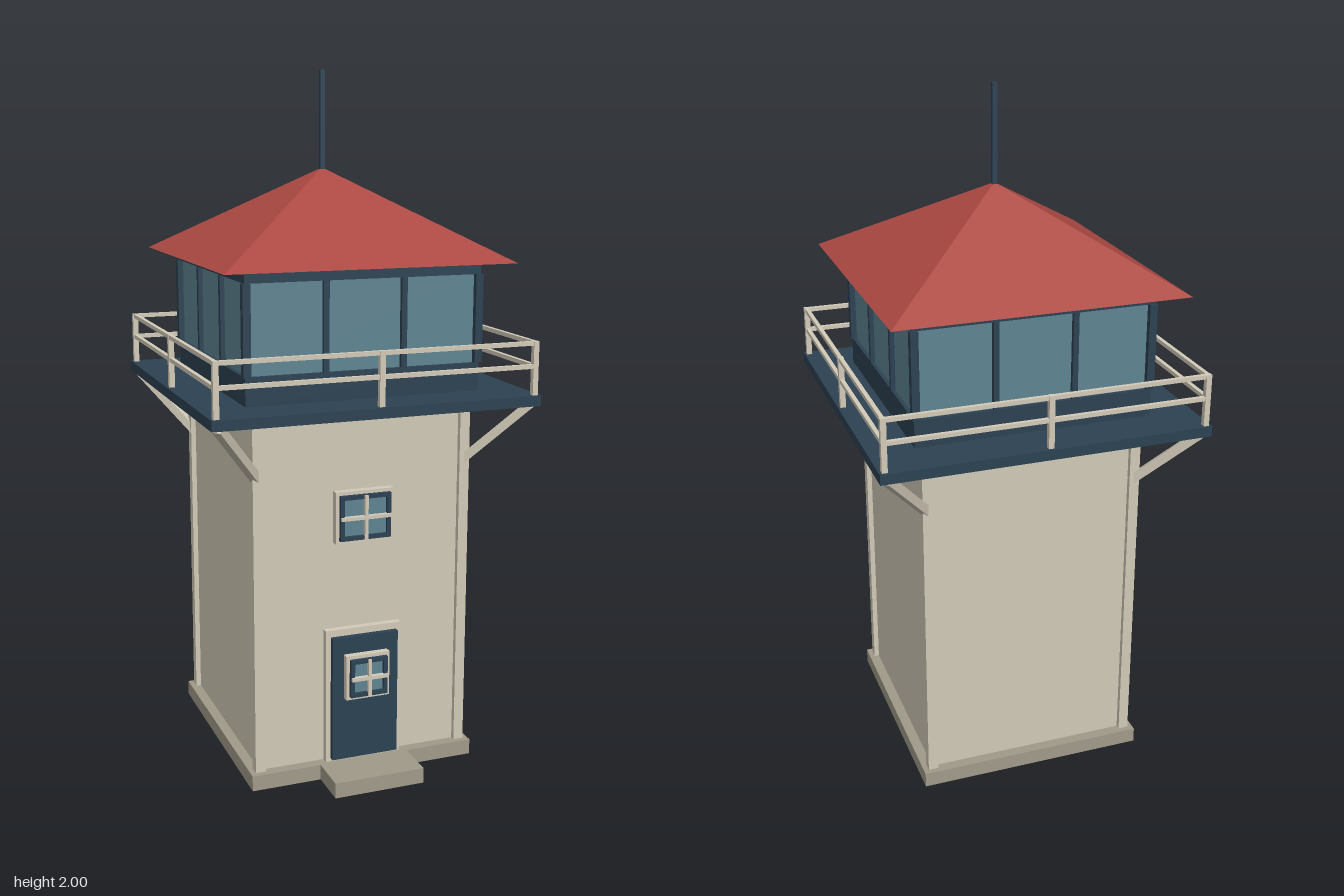
import * as THREE from 'three';

const mat = (name, color) => {
  const m = new THREE.MeshStandardMaterial({ color });
  m.name = name;
  return m;
};

export function createModel() {
  const cream = mat('cream wall', 0xd2cbb8);
  const trim = mat('cream trim', 0xd4ccba);
  const navy = mat('dark navy', 0x2c4253);
  const glass = mat('blue glass', 0x5f8592);
  const red = mat('red roof', 0xab4842);
  const stone = mat('grey stone', 0xa19b8a);

  const tower = new THREE.Group();
  tower.name = 'lookoutTower';

  const add = (parent, name, geo, material, x = 0, y = 0, z = 0) => {
    const m = new THREE.Mesh(geo, material);
    m.name = name;
    m.position.set(x, y, z);
    parent.add(m);
    return m;
  };
  const box = (parent, name, material, w, h, d, x, y, z) =>
    add(parent, name, new THREE.BoxGeometry(w, h, d), material, x, y, z);
  // Box given by its bottom and top heights
  const slab = (name, material, w, d, y0, y1, x = 0, z = 0) =>
    box(tower, name, material, w, y1 - y0, d, x, (y0 + y1) / 2, z);
  // Rectangular ring standing in the xy plane, with its back at z = 0
  const ring = (w, h, t, depth) => {
    const rect = (Type, a, b) => new Type([
      new THREE.Vector2(-a, -b), new THREE.Vector2(a, -b),
      new THREE.Vector2(a, b), new THREE.Vector2(-a, b)]);
    const s = rect(THREE.Shape, w / 2, h / 2);
    s.holes.push(rect(THREE.Path, w / 2 - t, h / 2 - t));
    return new THREE.ExtrudeGeometry(s, { depth, bevelEnabled: false });
  };

  // Plinth, doorstep and shaft
  slab('plinth', stone, 0.68, 0.71, 0, 0.045);
  slab('doorstep', stone, 0.27, 0.125, 0, 0.045, 0, 0.4125);
  slab('shaft', cream, 0.62, 0.646, 0.045, 1.08);

  // Corner boards and diagonal braces below the gallery
  for (const sx of [-1, 1]) for (const sz of [-1, 1]) {
    slab('cornerBoard', cream, 0.03, 0.03, 0.045, 1.08, sx * 0.31, sz * 0.323);
    const a = new THREE.Vector3(sx * 0.302, 0.895, sz * 0.315);
    const b = new THREE.Vector3(sx * 0.452, 1.082, sz * 0.452);
    const brace = box(tower, 'brace', trim, 0.025, 0.025, a.distanceTo(b), 0, 0, 0);
    brace.position.copy(a).lerp(b, 0.5);
    brace.lookAt(b);
  }

  // Window: casing, projecting sash, pane and glazing cross
  const addWindow = (name, w, h, y, z) => {
    const g = new THREE.Group();
    g.name = name;
    g.position.set(0, y, z);
    tower.add(g);
    add(g, 'casing', ring(w, h, 0.011, 0.022), trim);
    add(g, 'sash', ring(w - 0.02, h - 0.02, 0.012, 0.034), navy);
    box(g, 'pane', glass, w - 0.04, h - 0.04, 0.009, 0, 0, 0.02);
    box(g, 'glazingBarUpright', trim, 0.01, h - 0.022, 0.014, 0, 0, 0.033);
    box(g, 'glazingBarLevel', trim, w - 0.022, 0.01, 0.014, 0, 0, 0.034);
  };
  addWindow('shaftWindow', 0.172, 0.15, 0.774, 0.323);

  // Door with its surround
  slab('doorSurround', trim, 0.23, 0.02, 0.045, 0.445, 0, 0.333);
  slab('door', navy, 0.2, 0.035, 0.055, 0.425, 0, 0.3415);
  addWindow('doorWindow', 0.132, 0.132, 0.309, 0.357);

  // Gallery deck
  slab('galleryDeck', navy, 0.95, 0.95, 1.08, 1.11);

  // Lantern room
  slab('lanternBase', navy, 0.69, 0.69, 1.11, 1.19);
  slab('lanternGlass', glass, 0.668, 0.668, 1.19, 1.44);
  slab('lanternHeader', navy, 0.69, 0.69, 1.44, 1.476);
  for (const sx of [-1, 1]) for (const sz of [-1, 1])
    slab('lanternCorner', navy, 0.022, 0.022, 1.19, 1.44, sx * 0.34, sz * 0.34);

  // Mullions and railing, repeated on four sides
  for (let i = 0; i < 4; i++) {
    const side = new THREE.Group();
    side.name = 'gallerySide';
    side.rotation.y = i * Math.PI / 2;
    tower.add(side);
    for (const x of [-0.114, 0.114])
      box(side, 'mullion', navy, 0.016, 0.25, 0.022, x, 1.315, 0.336);
    for (const x of [-0.46, 0])
      box(side, 'railPost', trim, 0.016, 0.152, 0.016, x, 1.186, 0.46);
    for (const y of [1.191, 1.256])
      box(side, 'rail', trim, 0.92, 0.012, 0.012, 0, y, 0.46);
  }

  // Pyramid roof and mast
  const roof = new THREE.ConeGeometry(0.42 * Math.SQRT2, 0.252, 4, 1).toNonIndexed();
  roof.rotateY(Math.PI / 4);
  roof.computeVertexNormals();
  add(tower, 'roof', roof, red, 0, 1.6, 0);
  slab('mast', navy, 0.014, 0.014, 1.7, 2);

  return tower;
}
